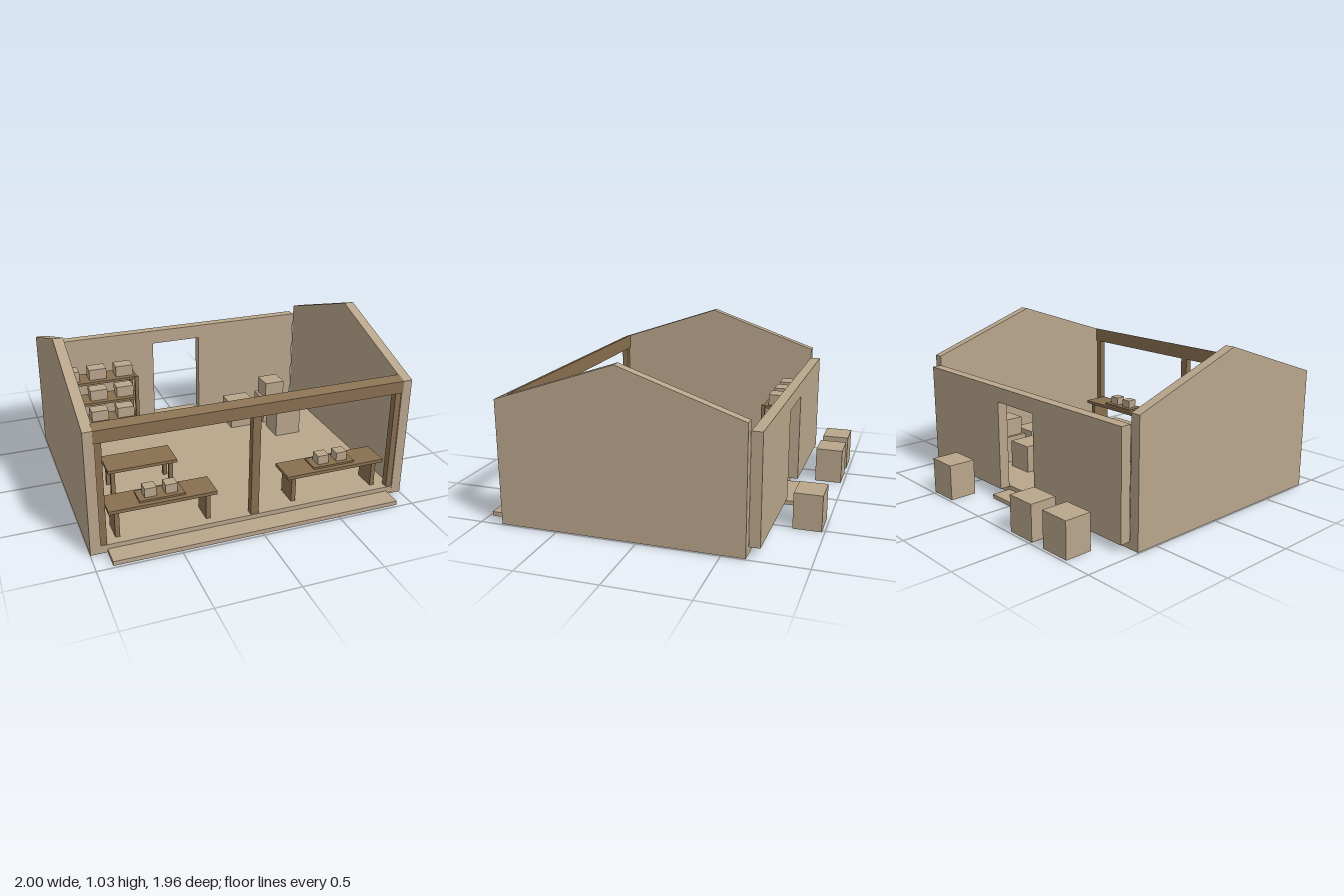
import * as THREE from 'three';

const plaster = new THREE.MeshStandardMaterial({ color: 0xb8a58b });
plaster.name = 'plaster';
const wood = new THREE.MeshStandardMaterial({ color: 0x886f50 });
wood.name = 'wood';

// Box given by its minimum and maximum on each axis
function box(parent, name, mat, [x0, x1], [y0, y1], [z0, z1]) {
  const mesh = new THREE.Mesh(new THREE.BoxGeometry(x1 - x0, y1 - y0, z1 - z0), mat);
  mesh.position.set((x0 + x1) / 2, (y0 + y1) / 2, (z0 + z1) / 2);
  mesh.name = name;
  parent.add(mesh);
  return mesh;
}

// Profile of [z, y] points swept along x from x0 to x1
function sweep(parent, name, mat, points, x0, x1) {
  const shape = new THREE.Shape(points.map(([z, y]) => new THREE.Vector2(-z, y)));
  const geo = new THREE.ExtrudeGeometry(shape, { depth: x1 - x0, bevelEnabled: false });
  geo.rotateY(Math.PI / 2);
  geo.translate(x0, 0, 0);
  const mesh = new THREE.Mesh(geo, mat);
  mesh.name = name;
  parent.add(mesh);
}

function group(parent, name) {
  const g = new THREE.Group();
  g.name = name;
  parent.add(g);
  return g;
}

export function createModel() {
  const root = new THREE.Group();
  root.name = 'workshop';
  const FLOOR = 0.055, BACK = -0.643, FRONT = 0.856;

  // Floor and steps
  box(root, 'floor', plaster, [-0.938, 0.938], [0.005, FLOOR], [BACK, FRONT - 0.001]);
  box(root, 'frontStep', plaster, [-0.9, 0.9], [0, 0.027], [FRONT, 0.982]);
  box(root, 'backStep', plaster, [-0.175, 0.175], [0, 0.027], [-0.77, BACK]);

  // Gabled side walls
  const gable = [[FRONT, 0.005], [FRONT, 0.78], [0.107, 1.035], [BACK, 0.78], [BACK, 0.005]];
  sweep(root, 'rightWall', plaster, gable, -1, -0.938);
  sweep(root, 'leftWall', plaster, gable, 0.938, 1);

  // Back wall with a doorway
  const wall = new THREE.Shape([[-0.935, 0.047], [-0.175, 0.047], [-0.175, 0.622], [0.175, 0.622],
    [0.175, 0.047], [0.935, 0.047], [0.935, 0.717], [-0.935, 0.717]].map(p => new THREE.Vector2(...p)));
  const backWall = new THREE.Mesh(
    new THREE.ExtrudeGeometry(wall, { depth: 0.066, bevelEnabled: false }), plaster);
  backWall.position.z = -0.709;
  backWall.name = 'backWall';
  root.add(backWall);

  // Front beam with a sloped top, and its posts
  sweep(root, 'frontBeam', wood,
    [[0.857, 0.703], [0.857, 0.78], [0.797, 0.801], [0.797, 0.703]], -0.945, 0.945);
  for (const [x0, x1] of [[-0.937, -0.9], [-0.025, 0.025], [0.9, 0.937]])
    box(root, 'post', wood, [x0, x1], [FLOOR, 0.703], [0.805, 0.85]);

  // Front benches with plank legs, each carrying a tray with two small boxes
  for (const cx of [-0.551, 0.551]) {
    const bench = group(root, 'bench');
    box(bench, 'benchTop', wood, [cx - 0.325, cx + 0.325], [0.222, 0.243], [0.64, 0.82]);
    for (const s of [-1, 1]) {
      const lx = cx + s * 0.275;
      box(bench, 'benchLeg', wood, [lx - 0.014, lx + 0.014], [FLOOR, 0.222], [0.66, 0.8]);
    }
    const tx = Math.sign(cx) * 0.551;
    box(bench, 'tray', wood, [tx - 0.137, tx + 0.137], [0.243, 0.255], [0.666, 0.79]);
    for (const s of [-1, 1]) {
      const bx = tx + s * 0.063;
      box(bench, 'smallBox', plaster, [bx - 0.036, bx + 0.036], [0.255, 0.312], [0.693, 0.763]);
    }
  }

  // Inner table on four legs
  const table = group(root, 'table');
  box(table, 'tableTop', wood, [-0.775, -0.33], [0.22, 0.24], [0.18, 0.38]);
  for (const x of [-0.74, -0.365])
    for (const z of [0.215, 0.345])
      box(table, 'tableLeg', wood, [x - 0.013, x + 0.013], [FLOOR, 0.22], [z - 0.013, z + 0.013]);

  // Shelf rack with boxes on each board
  const rack = group(root, 'shelfRack');
  for (const x of [-0.892, -0.366])
    for (const z of [-0.572, -0.418])
      box(rack, 'rackPost', wood, [x - 0.012, x + 0.012], [FLOOR, 0.488], [z - 0.012, z + 0.012]);
  for (const y of [0.167, 0.329, 0.486]) {
    box(rack, 'shelf', wood, [-0.9, -0.358], [y - 0.018, y], [-0.578, -0.415]);
    for (const x of [-0.816, -0.628, -0.441])
      box(rack, 'shelfBox', plaster, [x - 0.06, x + 0.06], [y, y + 0.075], [-0.546, -0.452]);
  }

  // Crates on the floor inside
  for (const [x, z] of [[0.372, -0.325], [0.623, -0.325], [0.623, -0.1]])
    box(root, 'crate', plaster, [x - 0.09, x + 0.09], [FLOOR, 0.235], [z - 0.087, z + 0.087]);
  box(root, 'stackedCrate', plaster, [0.553, 0.693], [0.235, 0.355], [-0.394, -0.256]);

  // Crates outside behind the back wall
  for (const x of [-0.703, -0.405, 0.422])
    box(root, 'outdoorCrate', plaster, [x - 0.099, x + 0.099], [0, 0.228], [-0.982, -0.808]);

  return root;
}
